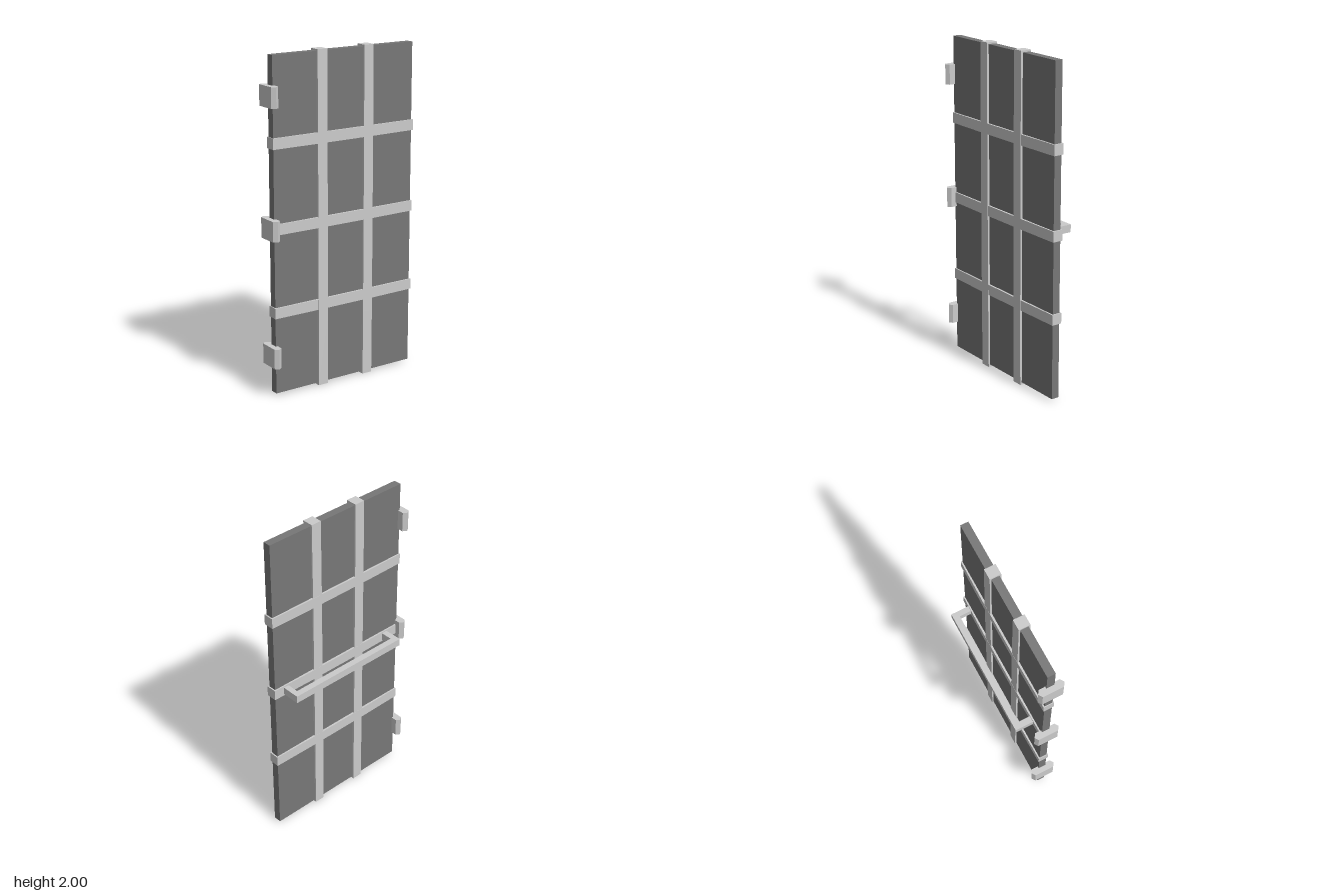
import * as THREE from 'three';

const steel = new THREE.MeshStandardMaterial({ color: 0xcccccc, flatShading: true });
const dark = new THREE.MeshStandardMaterial({ color: 0x777777, flatShading: true });

// Extrudes a plan outline of [x, z] points upward, centred on height y
function slab(points, height, y) {
  const shape = new THREE.Shape(points.map(([x, z]) => new THREE.Vector2(x, -z)));
  const geo = new THREE.ExtrudeGeometry(shape, { depth: height, bevelEnabled: false });
  geo.rotateX(-Math.PI / 2);
  geo.translate(0, y - height / 2, 0);
  return geo;
}

// Plan of a strap that is slightly thicker over its middle stretch
function strapPlan(start, end, innerStart, innerEnd, back, front, swell) {
  return [
    [start, front], [innerStart, front + swell], [innerEnd, front + swell], [end, front],
    [end, back], [innerEnd, back - swell], [innerStart, back - swell], [start, back],
  ];
}

export function createModel() {
  const door = new THREE.Group();
  door.name = 'door';
  const add = (name, geo, material = steel) => {
    const mesh = new THREE.Mesh(geo, material);
    mesh.name = name;
    door.add(mesh);
  };

  // Door panel
  const panel = new THREE.BoxGeometry(0.96, 1.976, 0.048);
  panel.translate(0.01, 1.002, 0.032);
  add('panel', panel, dark);

  // Horizontal straps wrapping the panel
  for (const y of [0.507, 1.003, 1.498]) {
    add('horizontalStrap', slab(strapPlan(-0.475, 0.498, -0.21, 0.23, 0, 0.064, 0.004), 0.064, y));
  }

  // Vertical straps: the same strap stood on end
  for (const x of [-0.148, 0.171]) {
    const geo = slab(strapPlan(0, 2, 0.4, 1.6, -0.001, 0.067, 0.002), 0.065, 0);
    geo.rotateZ(Math.PI / 2);
    geo.translate(x, 0, 0);
    add('verticalStrap', geo);
  }

  // Hinges with pointed front and back edges
  for (const y of [0.245, 1.005, 1.763]) {
    add('hinge', slab([
      [-0.48, 0.11], [-0.457, 0.094], [-0.457, -0.03],
      [-0.48, -0.046], [-0.503, -0.03], [-0.503, 0.094],
    ], 0.12, y));
  }

  // Push bar bracket on the back
  add('pushBar', slab([
    [-0.38, 0.005], [-0.342, 0.005], [-0.342, -0.075], [0.398, -0.075],
    [0.398, 0.005], [0.432, 0.005], [0.432, -0.114], [-0.38, -0.114],
  ], 0.046, 1.004));

  return door;
}
